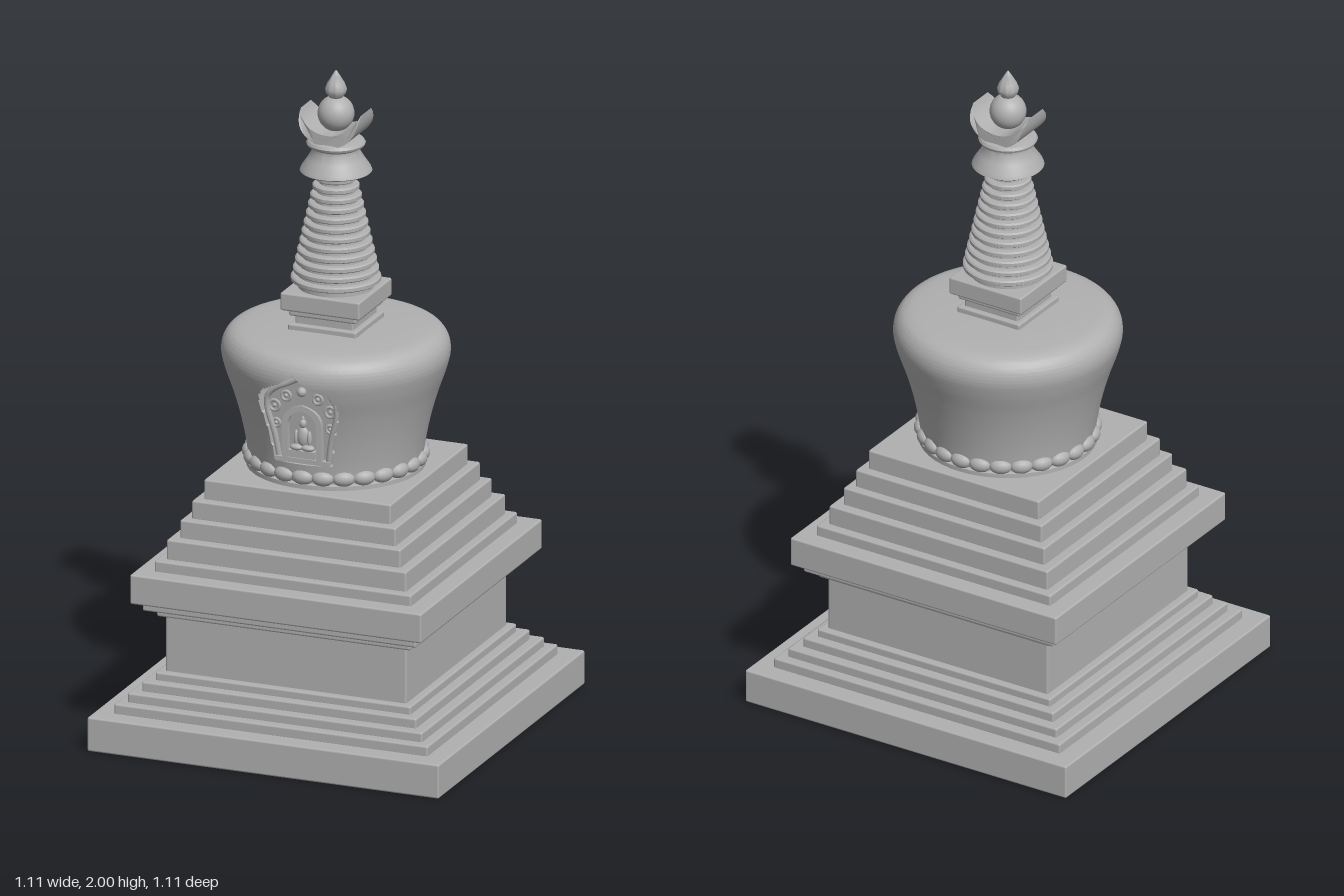
import * as THREE from 'three';
import { toCreasedNormals } from 'three/addons/utils/BufferGeometryUtils.js';
import { RoundedBoxGeometry } from 'three/addons/geometries/RoundedBoxGeometry.js';

const stone = new THREE.MeshStandardMaterial({ color: 0xb0b0b0 });
stone.name = 'grey stone';

const V2 = (p) => new THREE.Vector2(p[0], p[1]);

function add(parent, name, geometry, x = 0, y = 0, z = 0) {
  const mesh = new THREE.Mesh(geometry, stone);
  mesh.name = name;
  mesh.position.set(x, y, z);
  parent.add(mesh);
  return mesh;
}

// Square slab from y0 to y1
function slab(parent, name, half, y0, y1) {
  const h = y1 - y0;
  return add(parent, name, new RoundedBoxGeometry(half * 2, h, half * 2, 2, Math.min(0.006, h * 0.3)), 0, (y0 + y1) / 2, 0);
}

// Turned part from [radius, y] pairs, bottom to top
function turned(parent, name, profile, crease = 0.6, segments = 48) {
  return add(parent, name, toCreasedNormals(new THREE.LatheGeometry(profile.map(V2), segments), crease));
}

// Niche outline as [half width, y], and its slightly leaning back wall
const NICHE = [[0.088, 0.865], [0.1, 0.95], [0.122, 1.04], [0.118, 1.075], [0.095, 1.1], [0.045, 1.125], [0.015, 1.145], [0, 1.16]];
const nicheBack = (y) => 0.235 + 0.1 * (y - 0.87);
function nicheHalfWidth(y) {
  for (let i = 0; i < NICHE.length - 1; i++) {
    const [w0, y0] = NICHE[i], [w1, y1] = NICHE[i + 1];
    if (y >= y0 && y <= y1) return w0 + (w1 - w0) * (y - y0) / (y1 - y0);
  }
  return -1;
}

// Bulging dome; vertices inside the niche outline are pushed back
function domeGeometry() {
  const curve = new THREE.SplineCurve([[0.256, 0.82], [0.265, 0.88], [0.28, 0.95], [0.3, 1.02], [0.324, 1.09],
    [0.335, 1.14], [0.326, 1.18], [0.296, 1.206], [0.23, 1.215], [0.09, 1.22]].map(V2));
  const geo = new THREE.LatheGeometry(curve.getSpacedPoints(110), 180, -Math.PI, Math.PI * 2);
  const pos = geo.attributes.position;
  for (let i = 0; i < pos.count; i++) {
    const y = pos.getY(i), r = Math.hypot(pos.getX(i), pos.getZ(i));
    let a = Math.atan2(pos.getX(i), pos.getZ(i));
    a -= 0.75 * Math.sin(a); // finer columns towards the front
    const x = r * Math.sin(a);
    let z = r * Math.cos(a);
    if (z > 0 && Math.abs(x) < nicheHalfWidth(y)) z = Math.min(z, nicheBack(y));
    pos.setXYZ(i, x, y, z);
  }
  return toCreasedNormals(geo, 0.7);
}

// Arch outline, flat at the bottom
function arch(PathType, w, y0, spring, top) {
  const p = new PathType();
  p.moveTo(-w, y0);
  p.lineTo(w, y0);
  p.lineTo(w, spring);
  p.quadraticCurveTo(w, top - 0.012, 0, top);
  p.quadraticCurveTo(-w, top - 0.012, -w, spring);
  p.lineTo(-w, y0);
  return p;
}

function addNiche(parent) {
  const niche = new THREE.Group();
  niche.name = 'niche';
  parent.add(niche);

  // Moulding that follows the outline
  const side = NICHE.map(([w, y]) => new THREE.Vector3(Math.max(0, w - 0.012), y - 0.008, nicheBack(y) + 0.006));
  const left = side.slice(0, -1).map((v) => v.clone().setX(-v.x));
  const path = new THREE.CatmullRomCurve3([...left, side[side.length - 1], ...side.slice(0, -1).reverse()]);
  add(niche, 'niche moulding', new THREE.TubeGeometry(path, 80, 0.009, 8));

  // Small arched frame around the figure
  const frame = arch(THREE.Shape, 0.062, 0.87, 0.985, 1.045);
  frame.holes.push(arch(THREE.Path, 0.045, 0.882, 0.98, 1.028));
  add(niche, 'inner arch', new THREE.ExtrudeGeometry(frame, { depth: 0.02, bevelEnabled: false, curveSegments: 12 }), 0, 0, 0.241);
  add(niche, 'niche sill', new THREE.BoxGeometry(0.17, 0.014, 0.03), 0, 0.873, 0.242);

  // Scrolls and bosses
  for (const s of [-1, 1]) {
    for (const [x, y, r] of [[0.085, 0.98, 0.012], [0.088, 1.035, 0.016], [0.05, 1.07, 0.014]]) {
      add(niche, 'scroll', new THREE.TorusGeometry(r, 0.005, 6, 16), s * x, y, nicheBack(y) + 0.003);
      add(niche, 'boss', new THREE.SphereGeometry(0.006, 8, 6), s * x, y, nicheBack(y) + 0.003);
    }
  }
  add(niche, 'crown boss', new THREE.SphereGeometry(0.015, 12, 8), 0, 1.088, 0.26);

  // Seated figure
  const blob = (name, x, y, z, sx, sy, sz) =>
    add(niche, name, new THREE.SphereGeometry(1, 16, 12), x, y, z).scale.set(sx, sy, sz);
  add(niche, 'figure seat', new THREE.BoxGeometry(0.085, 0.022, 0.03), 0, 0.896, 0.25);
  blob('figure torso', 0, 0.946, 0.248, 0.019, 0.032, 0.014);
  blob('figure head', 0, 0.988, 0.25, 0.011, 0.014, 0.011);
  blob('figure topknot', 0, 1.004, 0.25, 0.005, 0.006, 0.005);
  for (const s of [-1, 1]) {
    blob('figure leg', s * 0.018, 0.915, 0.255, 0.021, 0.01, 0.014);
    blob('figure arm', s * 0.021, 0.943, 0.251, 0.007, 0.024, 0.009);
  }
}

export function createModel() {
  const model = new THREE.Group();
  model.name = 'stupa';

  // Square stepped base: [half width, bottom, top]
  [[0.555, 0, 0.105], [0.495, 0.1, 0.135], [0.465, 0.13, 0.163], [0.433, 0.158, 0.192], [0.403, 0.187, 0.216]]
    .forEach((s) => slab(model, 'plinth step', ...s));
  slab(model, 'base block', 0.38, 0.21, 0.395);
  [[0.4, 0.387, 0.415], [0.432, 0.41, 0.44]].forEach((s) => slab(model, 'cornice step', ...s));
  slab(model, 'cornice', 0.46, 0.436, 0.527);
  [[0.405, 0.52, 0.56], [0.378, 0.555, 0.62], [0.348, 0.615, 0.675], [0.322, 0.67, 0.73], [0.295, 0.725, 0.79]]
    .forEach((s) => slab(model, 'terrace', ...s));

  // Bead ring under the dome
  turned(model, 'bead seat', [[0, 0.785], [0.262, 0.785], [0.262, 0.803], [0.25, 0.806], [0.25, 0.845], [0, 0.845]]);
  const beads = 26;
  for (let i = 0; i < beads; i++) {
    const a = (i / beads) * Math.PI * 2;
    const bead = add(model, 'bead', new THREE.SphereGeometry(1, 14, 10), Math.sin(a) * 0.253, 0.824, Math.cos(a) * 0.253);
    bead.scale.set(0.034, 0.023, 0.022);
    bead.rotation.y = a;
  }

  add(model, 'dome', domeGeometry());
  addNiche(model);

  // Square neck
  [[0.108, 1.21, 1.236], [0.092, 1.23, 1.265], [0.106, 1.26, 1.284], [0.125, 1.28, 1.335]]
    .forEach((s) => slab(model, 'neck block', ...s));

  // Ringed spire
  const rings = 12, y0 = 1.352, pitch = 0.0282;
  const spire = [[0, 1.33], [0.112, 1.33], [0.112, y0]];
  for (let i = 0; i < rings; i++) {
    const r = 0.132 - 0.0063 * i, y = y0 + i * pitch;
    spire.push([r - 0.006, y], [r, y + 0.004], [r, y + 0.014], [r - 0.005, y + 0.018], [r - 0.02, y + 0.019], [r - 0.021, y + pitch]);
  }
  spire.push([0.045, 1.71], [0, 1.71]);
  turned(model, 'spire', spire);

  // Parasol
  turned(model, 'parasol', [[0, 1.695], [0.095, 1.695], [0.1, 1.688], [0.106, 1.692], [0.102, 1.702], [0.084, 1.728],
    [0.07, 1.752], [0.07, 1.762], [0.084, 1.77], [0.087, 1.777], [0.082, 1.785], [0.06, 1.79], [0, 1.79]]);

  // Crescent, narrowing towards the horn tips
  const moon = new THREE.Shape();
  moon.moveTo(-0.095, 1.882);
  moon.bezierCurveTo(-0.1, 1.745, 0.1, 1.745, 0.095, 1.882);
  moon.bezierCurveTo(0.065, 1.795, -0.065, 1.795, -0.095, 1.882);
  const moonGeo = new THREE.ExtrudeGeometry(moon, { depth: 0.14, steps: 6, bevelEnabled: false, curveSegments: 24 });
  moonGeo.translate(0, 0, -0.07);
  const p = moonGeo.attributes.position;
  for (let i = 0; i < p.count; i++) {
    const rise = Math.max(0, (p.getY(i) - 1.82) / 0.062);
    p.setZ(i, p.getZ(i) * (1 - 0.45 * rise * rise));
  }
  add(model, 'crescent', toCreasedNormals(moonGeo, 0.6));

  // Sun ball and flame tip
  add(model, 'sun ball', new THREE.SphereGeometry(0.054, 32, 20), 0, 1.866, 0);
  turned(model, 'flame tip', [[0, 1.908], [0.018, 1.913], [0.03, 1.93], [0.032, 1.942], [0.026, 1.958], [0.013, 1.98], [0.005, 1.993], [0, 2]], 1, 28);

  return model;
}
